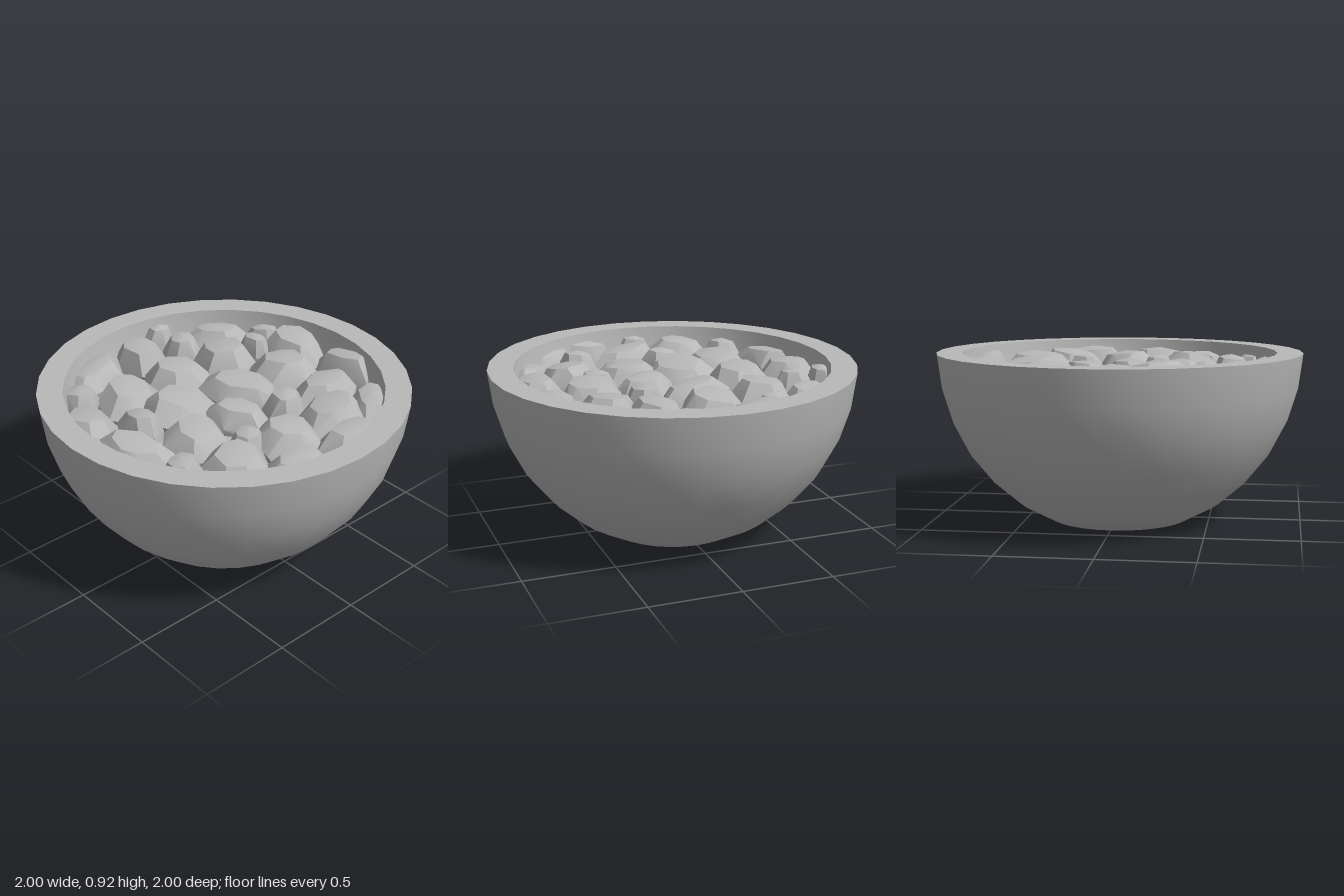
import * as THREE from 'three';
import { ConvexGeometry } from 'three/addons/geometries/ConvexGeometry.js';
import { toCreasedNormals } from 'three/addons/utils/BufferGeometryUtils.js';

const RIM_Y = 0.92, INNER = 0.86, SIDES = 32;

// Stones laid square to the bowl: x, z, half width, half depth
const stones = [
  [-0.2, -0.72, 0.18, 0.15], [0.16, -0.77, 0.2, 0.11], [-0.38, -0.33, 0.18, 0.17],
  [-0.05, -0.5, 0.18, 0.2], [0.27, -0.5, 0.14, 0.2], [0.47, -0.33, 0.16, 0.2],
  [0.72, -0.25, 0.13, 0.21], [-0.62, -0.22, 0.11, 0.1], [-0.8, -0.2, 0.08, 0.1],
  [-0.7, 0.02, 0.17, 0.13], [-0.39, 0, 0.17, 0.18], [0.24, -0.22, 0.11, 0.11],
  [0.48, -0.02, 0.16, 0.18], [0.73, 0.15, 0.14, 0.2], [-0.12, 0.2, 0.2, 0.2],
  [-0.38, 0.35, 0.18, 0.17], [0.5, 0.36, 0.16, 0.18], [-0.12, 0.48, 0.14, 0.1],
  [-0.53, 0.58, 0.11, 0.11], [-0.3, 0.7, 0.18, 0.15], [0.36, 0.6, 0.11, 0.11],
  [0.25, 0.79, 0.16, 0.07], [-0.06, 0.83, 0.1, 0.06], [-0.36, -0.56, 0.11, 0.08],
  [0.38, 0.18, 0.1, 0.1],
];

// Slanted stones: x, z, half length, half width, turn
const slantedStones = [
  [-0.6, -0.47, 0.19, 0.13, 0.9], [0.54, -0.58, 0.2, 0.11, -0.8],
  [-0.05, -0.17, 0.24, 0.13, 0.55], [0.15, 0.03, 0.19, 0.12, 0.4],
  [-0.71, 0.34, 0.21, 0.12, -1.2], [0.16, 0.33, 0.19, 0.16, -0.6],
  [0.07, 0.66, 0.22, 0.14, 0.3], [0.5, 0.69, 0.16, 0.09, 0.5],
  [0.69, 0.45, 0.16, 0.11, 0.9], [-0.43, -0.69, 0.11, 0.08, 0.5],
];

function seeded(seed) {
  let s = seed;
  return () => (s = (s * 16807) % 2147483647) / 2147483647;
}

// Faceted stone: jittered rings inside a convex hull, held within the bowl wall
function stoneGeometry([x, z, a, b, turn = 0], seed) {
  const rand = seeded(seed * 7919 + 101);
  for (let i = 0; i < 4; i++) rand();
  const top = 0.835 + rand() * 0.055;
  const tiltX = (rand() - 0.5) * 0.28, tiltZ = (rand() - 0.5) * 0.28;
  const start = rand() * Math.PI;
  const rings = [[0.62, top, 7], [1.1, 0.765, 7], [1.08, 0.7, 7], [0.6, 0.58, 5]];
  const points = [];
  rings.forEach(([r, y, n], level) => {
    for (let i = 0; i < n; i++) {
      const t = start + ((i + (rand() - 0.5) * 0.5) / n) * Math.PI * 2;
      const k = r * (0.93 + rand() * 0.17);
      const u = Math.cos(t) * a * k, v = Math.sin(t) * b * k;
      const px = x + u * Math.cos(turn) + v * Math.sin(turn);
      const pz = z - u * Math.sin(turn) + v * Math.cos(turn);
      const fit = Math.min(1, 0.862 / Math.hypot(px, pz));
      const py = y + (level < 2 ? u * tiltX + v * tiltZ : 0);
      points.push(new THREE.Vector3(px * fit, Math.min(py, 0.91), pz * fit));
    }
  });
  const fit = Math.min(1, 0.83 / Math.hypot(x, z));
  points.push(new THREE.Vector3(x * fit, Math.min(top + 0.018, 0.91), z * fit));
  return toCreasedNormals(new ConvexGeometry(points), 0.5);
}

export function createModel() {
  const model = new THREE.Group();
  model.name = 'bowlOfStones';
  const grey = new THREE.MeshStandardMaterial({ color: 0xb8b8b8 });
  grey.name = 'stone grey';

  const add = (parent, name, geometry) => {
    const mesh = new THREE.Mesh(geometry, grey);
    mesh.name = name;
    parent.add(mesh);
  };
  const lathe = (pts) =>
    new THREE.LatheGeometry(pts.map(([r, y]) => new THREE.Vector2(r, y)), SIDES);

  // Bowl: rounded shell with flat foot, flat rim, and inner wall
  const profile = [[0, 0], [0.385, 0], [0.56, 0.095], [0.705, 0.22],
    [0.83, 0.375], [0.92, 0.55], [0.975, 0.73], [1, RIM_Y]];
  add(model, 'bowlShell', lathe(profile));
  add(model, 'bowlRim', lathe([[1, RIM_Y], [INNER, RIM_Y]]));
  const inner = profile.map(([r, y]) => [r * INNER, RIM_Y - (RIM_Y - y) * INNER]);
  add(model, 'bowlInside', lathe(inner.reverse()));

  // Packed bed closing the gaps between stones
  add(model, 'stoneBed', lathe([[0.845, 0.73], [0, 0.73]]));

  const pile = new THREE.Group();
  pile.name = 'stones';
  [...stones, ...slantedStones].forEach((s, i) => add(pile, `stone${i + 1}`, stoneGeometry(s, i + 1)));
  model.add(pile);
  return model;
}
